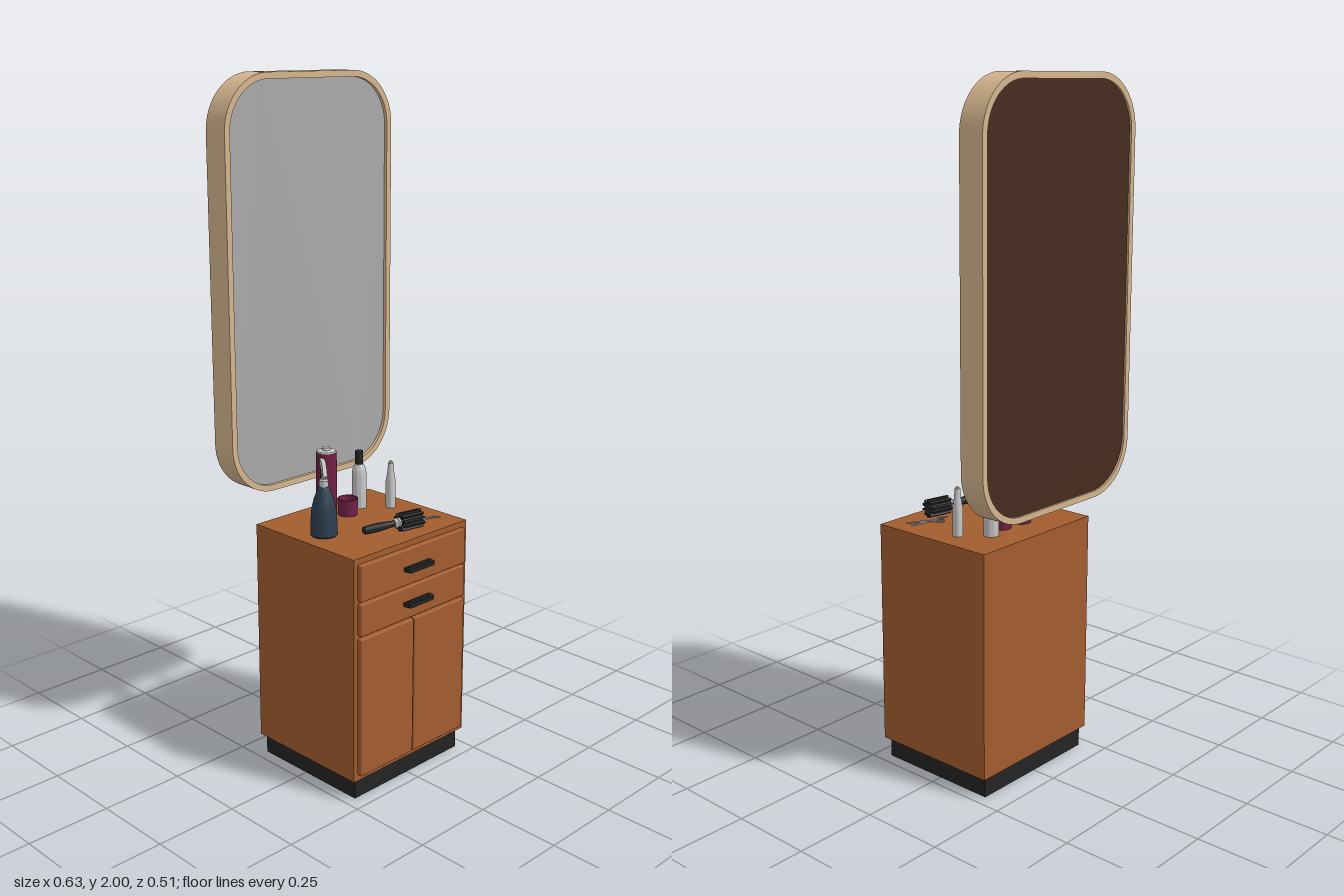
import * as THREE from 'three';
import { toCreasedNormals } from 'three/addons/utils/BufferGeometryUtils.js';
import { RoundedBoxGeometry } from 'three/addons/geometries/RoundedBoxGeometry.js';

const mat = (name, color) => {
  const m = new THREE.MeshStandardMaterial({ color });
  m.name = name;
  return m;
};

export function createModel() {
  const wood = mat('orange wood', 0xa35d2f), black = mat('black', 0x232323), tan = mat('pale wood', 0xd6b68f);
  const glass = mat('mirror grey', 0xabaaaa), brown = mat('dark brown', 0x472b1e), blue = mat('navy', 0x2c3e50);
  const plum = mat('plum', 0x722045), silver = mat('light grey', 0xc4c4c4);

  const model = new THREE.Group();
  model.name = 'dressingStation';
  const add = (parent, name, geo, material, x = 0, y = 0, z = 0) => {
    const m = new THREE.Mesh(geo, material);
    m.name = name;
    m.position.set(x, y, z);
    parent.add(m);
    return m;
  };
  const group = (name, x, y, z) => {
    const g = new THREE.Group();
    g.name = name;
    g.position.set(x, y, z);
    model.add(g);
    return g;
  };
  const lathe = (pts, seg = 32) =>
    toCreasedNormals(new THREE.LatheGeometry(pts.map(p => new THREE.Vector2(...p)), seg), 0.6);
  const extrude = (shape, depth) =>
    toCreasedNormals(new THREE.ExtrudeGeometry(shape, { depth, bevelEnabled: false, curveSegments: 16 }), 0.5);
  const polygon = pts => new THREE.Shape(pts.map(p => new THREE.Vector2(...p)));
  const roundRect = (w, h, r, C = THREE.Shape) => {
    const s = new C(), x = w / 2, y = h / 2;
    s.moveTo(-x + r, -y);
    s.lineTo(x - r, -y);
    s.absarc(x - r, -y + r, r, -Math.PI / 2, 0);
    s.lineTo(x, y - r);
    s.absarc(x - r, y - r, r, 0, Math.PI / 2);
    s.lineTo(-x + r, y);
    s.absarc(-x + r, y - r, r, Math.PI / 2, Math.PI);
    s.lineTo(-x, -y + r);
    s.absarc(-x + r, -y + r, r, Math.PI, Math.PI * 1.5);
    return s;
  };

  // Mirror: hollow rounded frame, recessed glass and back board
  const mirror = group('mirror', 0, 1.412, 0);
  const ring = roundRect(0.63, 1.176, 0.155);
  ring.holes.push(roundRect(0.594, 1.14, 0.137, THREE.Path));
  add(mirror, 'mirrorFrame', extrude(ring, 0.078), tan, 0, 0, -0.258);
  const pane = roundRect(0.596, 1.142, 0.138);
  add(mirror, 'mirrorGlass', extrude(pane, 0.03), glass, 0, 0, -0.22);
  add(mirror, 'mirrorBack', extrude(pane, 0.03), brown, 0, 0, -0.252);

  // Cabinet with plinth, two drawers and two doors
  add(model, 'plinth', new THREE.BoxGeometry(0.43, 0.062, 0.38), black, 0, 0.031, 0.015);
  add(model, 'cabinet', new THREE.BoxGeometry(0.46, 0.673, 0.402), wood, 0, 0.3985, 0.016);
  const panel = (name, x0, x1, y0, y1) =>
    add(model, name, new RoundedBoxGeometry(x1 - x0, y1 - y0, 0.018, 2, 0.004), wood, (x0 + x1) / 2, (y0 + y1) / 2, 0.223);
  panel('rightDoor', -0.216, -0.004, 0.08, 0.5);
  panel('leftDoor', -0.001, 0.211, 0.08, 0.5);
  const grip = polygon([[-0.053, 0], [-0.05, 0.023], [-0.045, 0.026], [0.045, 0.026], [0.05, 0.023], [0.053, 0]]);
  grip.holes.push(polygon([[-0.043, 0.004], [0.043, 0.004], [0.04, 0.015], [-0.04, 0.015]]));
  [[0.61, 0.718, 0.661], [0.508, 0.604, 0.556]].forEach(([y0, y1, yh]) => {
    panel('drawerFront', -0.216, 0.211, y0, y1);
    add(model, 'drawerHandle', extrude(grip, 0.012), black, 0.004, yh + 0.006, 0.23).rotation.x = Math.PI / 2;
  });

  const top = 0.735;

  // Spray bottle with angled pump head
  const spray = group('sprayBottle', -0.151, top, 0.016);
  add(spray, 'sprayBody', lathe([[0, 0], [0.036, 0], [0.039, 0.004], [0.038, 0.045], [0.035, 0.08],
    [0.028, 0.11], [0.019, 0.133], [0.014, 0.145], [0, 0.145]]), blue);
  add(spray, 'sprayCollar', lathe([[0, 0.143], [0.013, 0.143], [0.013, 0.162], [0.008, 0.168], [0, 0.168]], 20), silver);
  const pump = new THREE.Group();
  pump.name = 'sprayHead';
  pump.rotation.y = 0.93;
  spray.add(pump);
  add(pump, 'pumpBody', extrude(polygon([[-0.008, 0.16], [0.01, 0.16], [0.014, 0.188], [0.045, 0.196], [0.045, 0.212],
    [0.005, 0.216], [-0.02, 0.208], [-0.042, 0.186], [-0.04, 0.18], [-0.012, 0.19]]), 0.012), silver, 0, 0, -0.006);
  add(pump, 'pumpTrigger', extrude(polygon([[0.018, 0.194], [0.03, 0.194], [0.034, 0.172], [0.044, 0.152],
    [0.038, 0.152], [0.026, 0.17]]), 0.01), black, 0, 0, -0.005);
  add(pump, 'pumpNozzle', new THREE.CylinderGeometry(0.006, 0.009, 0.016, 16), black, 0.052, 0.204, 0).rotation.z = -Math.PI / 2;

  // Tall can with a pale cap
  const can = group('tallCan', -0.06, top, -0.069);
  add(can, 'canBody', lathe([[0, 0], [0.03, 0], [0.03, 0.208], [0, 0.208]]), plum);
  add(can, 'canCap', lathe([[0, 0.207], [0.029, 0.207], [0.027, 0.212], [0.012, 0.214], [0.011, 0.222], [0, 0.222]]), silver);

  // Open cup
  add(model, 'cup', lathe([[0, 0], [0.029, 0], [0.03, 0.05], [0.027, 0.05], [0.026, 0.006], [0, 0.006]]), plum, 0.02, top, -0.063);

  // Bottle with black cap
  const bottle = group('cappedBottle', 0.091, top, -0.087);
  add(bottle, 'bottleBody', lathe([[0, 0], [0.022, 0], [0.022, 0.105], [0.019, 0.122], [0.013, 0.135], [0, 0.135]]), silver);
  add(bottle, 'bottleCap', lathe([[0, 0.134], [0.012, 0.134], [0.012, 0.175], [0, 0.175]], 24), black);

  // Slim bottle with pale tip
  const slim = group('slimBottle', 0.157, top, -0.02);
  add(slim, 'slimBody', lathe([[0, 0], [0.015, 0], [0.015, 0.08], [0.01, 0.11], [0.008, 0.138], [0, 0.138]], 24), silver);
  add(slim, 'slimTip', lathe([[0, 0.137], [0.006, 0.137], [0.005, 0.143], [0, 0.143]], 16), tan);

  // Round hair brush lying on the top
  const brush = group('hairBrush', -0.1, 0.762, 0.124);
  brush.rotation.set(0, -0.18, -Math.PI / 2);
  add(brush, 'brushHandle', lathe([[0, 0], [0.009, 0], [0.012, 0.006], [0.013, 0.05], [0.009, 0.1], [0.009, 0.108], [0, 0.108]], 20), black);
  add(brush, 'brushFerrule', lathe([[0, 0.104], [0.011, 0.104], [0.015, 0.112], [0.012, 0.118], [0.016, 0.126], [0, 0.126]], 20), silver);
  add(brush, 'brushCore', new THREE.CylinderGeometry(0.016, 0.016, 0.075, 20), black, 0, 0.16, 0);
  for (let i = 0; i < 10; i++) {
    const a = i / 10 * Math.PI * 2;
    add(brush, 'bristleRow', new THREE.BoxGeometry(0.014, 0.074, 0.006), black,
      Math.cos(a) * 0.02, 0.16, Math.sin(a) * 0.02).rotation.y = -a;
  }

  // Scissors: finger loops, shanks and tapered blades
  const scissors = group('scissors', 0, 0.739, 0);
  const pivot = [0.137, 0.128];
  [[[0.078, 0.119], [0.184, 0.136]], [[0.108, 0.091], [0.184, 0.156]]].forEach(([loop, tip], i) => {
    const y = i * 0.003;
    const bar = (name, a, b, wa, wb) => {
      const L = Math.hypot(b[0] - a[0], b[1] - a[1]);
      const m = add(scissors, name, extrude(polygon([[0, -wa], [L, -wb], [L, wb], [0, wa]]), 0.003), silver, a[0], y, a[1]);
      m.rotation.set(Math.PI / 2, 0, Math.atan2(b[1] - a[1], b[0] - a[0]));
    };
    add(scissors, 'fingerLoop', new THREE.TorusGeometry(0.0095, 0.002, 8, 24), silver, loop[0], y, loop[1]).rotation.x = Math.PI / 2;
    const d = Math.hypot(pivot[0] - loop[0], pivot[1] - loop[1]);
    const start = loop.map((v, k) => v + (pivot[k] - v) * 0.0095 / d);
    bar('scissorShank', start, pivot, 0.002, 0.004);
    bar('scissorBlade', pivot, tip, 0.0045, 0.001);
  });
  add(scissors, 'scissorPivot', new THREE.CylinderGeometry(0.003, 0.003, 0.008, 12), silver, pivot[0], 0.001, pivot[1]);
  add(scissors, 'fingerRest', new THREE.CapsuleGeometry(0.0015, 0.011, 4, 8), silver, 0.062, 0, 0.116).rotation.z = Math.PI / 2;

  return model;
}
